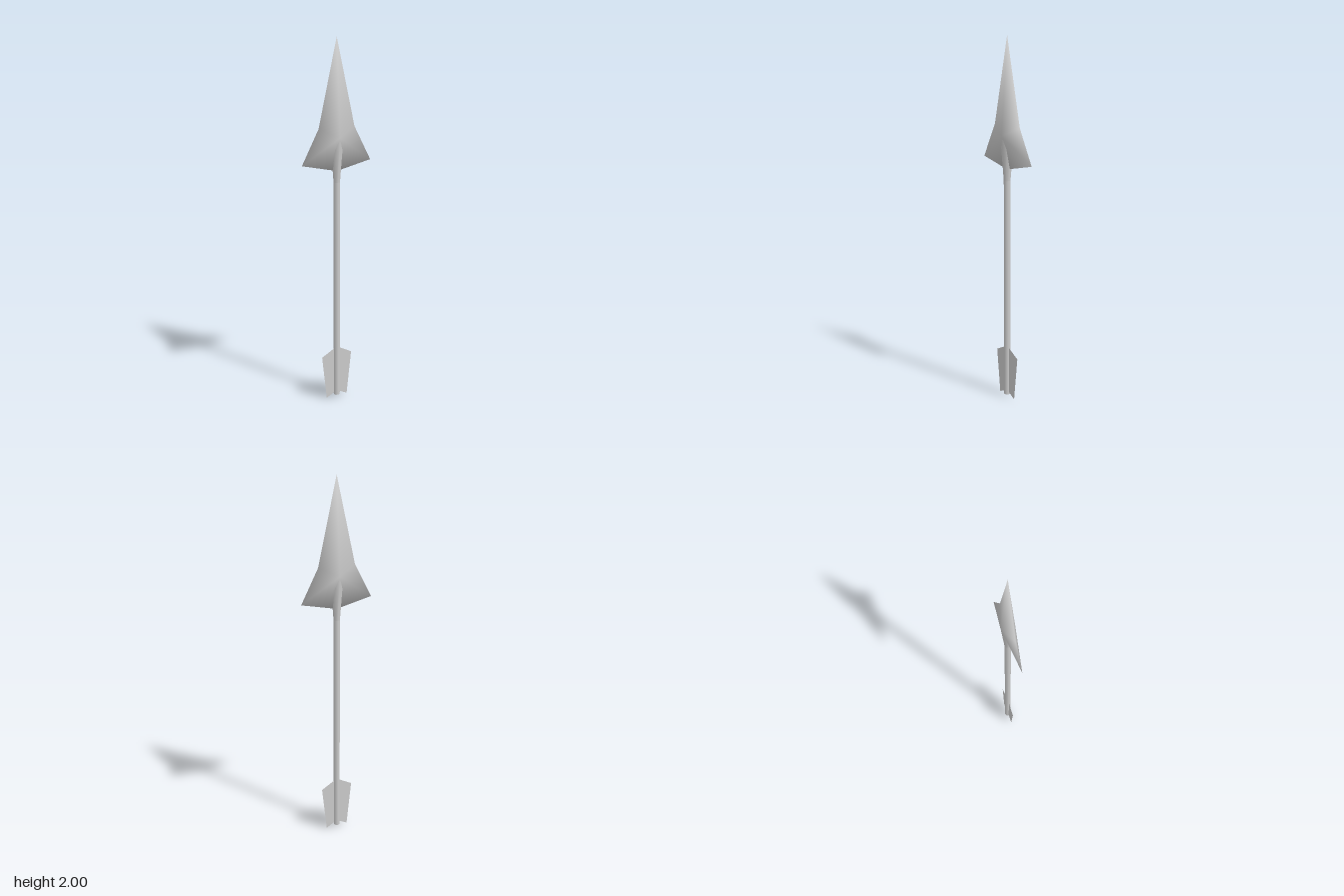
import * as THREE from 'three';

export function createModel() {
  const model = new THREE.Group();
  model.name = 'arrow';
  const grey = new THREE.MeshStandardMaterial({ name: 'plain grey', color: 0xcccccc, side: THREE.DoubleSide });
  const add = (name, geometry) => {
    const mesh = new THREE.Mesh(geometry, grey);
    mesh.name = name;
    model.add(mesh);
    return mesh;
  };

  // Barbed head: a flat outline raised to a central peak on both faces
  const outline = [[0, 2], [-0.105, 1.54], [-0.202, 1.355], [0, 1.31], [0.202, 1.355], [0.105, 1.54]];
  const n = outline.length;
  const points = outline.flatMap(([x, y]) => [x, y, 0]);
  points.push(0, 1.49, 0.037, 0, 1.49, -0.037);
  const faces = [];
  for (let i = 0; i < n; i++) {
    const j = (i + 1) % n;
    faces.push(i, j, n, j, i, n + 1);
  }
  const head = new THREE.BufferGeometry();
  head.setAttribute('position', new THREE.Float32BufferAttribute(points, 3));
  head.setIndex(faces);
  head.computeVertexNormals();
  add('arrowhead', head);

  // Socket flaring from the shaft into the head
  const socket = add('socket', new THREE.CylinderGeometry(0.035, 0.018, 0.22, 8, 1, true));
  socket.position.y = 1.36;

  // Shaft
  const shaft = add('shaft', new THREE.CylinderGeometry(0.018, 0.018, 1.25, 8));
  shaft.position.y = 0.637;

  // Pair of flat fletchings
  for (const side of [1, -1]) {
    const shape = new THREE.Shape([[0.01, 0.3], [0.092, 0.255], [0.064, 0], [0.01, 0.028]]
      .map(([x, y]) => new THREE.Vector2(side * x, y)));
    add(side > 0 ? 'leftFletching' : 'rightFletching', new THREE.ShapeGeometry(shape));
  }
  return model;
}
